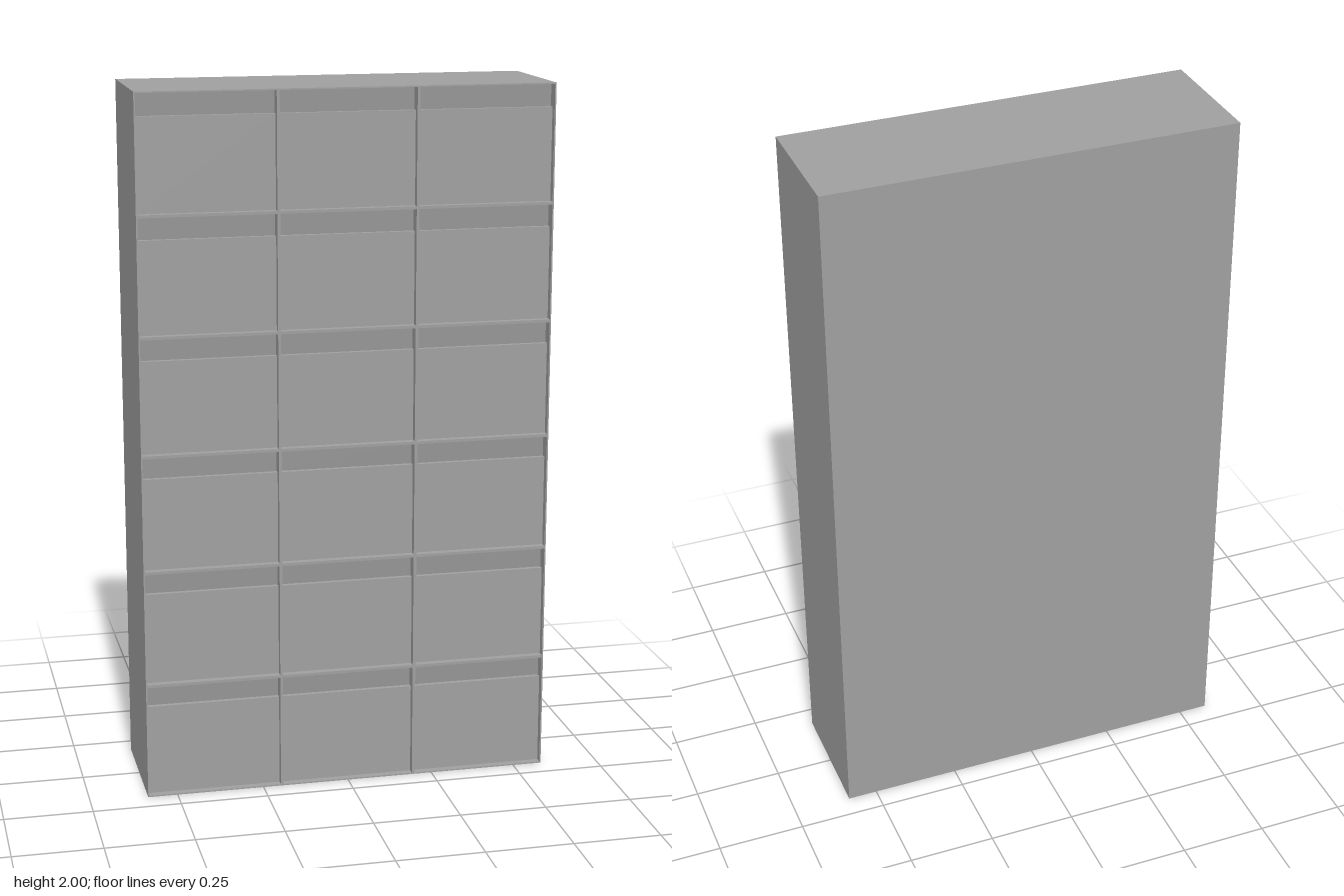
import * as THREE from 'three';

const WIDTH = 1.17, HEIGHT = 2, DEPTH = 0.37;
const COLUMNS = 3, ROWS = 6;
const EDGE = 0.004;        // half the thickness of a divider or shelf
const RECESS_Z = 0.15;     // plane of the recessed grip strips
const PANEL_Z = 0.165;     // plane of the drawer fronts
const GRIP = 0.068;        // distance from cell top to drawer front top

export function createModel() {
  const model = new THREE.Group();
  model.name = 'drawerCabinet';
  const grey = new THREE.MeshStandardMaterial({ color: 0xa0a0a0 });
  grey.name = 'cabinet grey';
  const darkGrey = new THREE.MeshStandardMaterial({ color: 0x959595 });
  darkGrey.name = 'recess grey';

  const add = (name, geometry, material, x, y, z, parent = model) => {
    const mesh = new THREE.Mesh(geometry, material);
    mesh.name = name;
    mesh.position.set(x, y, z);
    parent.add(mesh);
    return mesh;
  };

  // Solid carcass behind the drawer fronts
  const bodyDepth = RECESS_Z + DEPTH / 2;
  add('carcass', new THREE.BoxGeometry(WIDTH, HEIGHT, bodyDepth), grey,
    0, HEIGHT / 2, RECESS_Z - bodyDepth / 2);

  // Front lattice of thin dividers and shelves, one opening per drawer
  const cellW = WIDTH / COLUMNS, cellH = HEIGHT / ROWS;
  const openW = cellW - 2 * EDGE, openH = cellH - 2 * EDGE;
  const lattice = new THREE.Shape([
    new THREE.Vector2(-WIDTH / 2, 0), new THREE.Vector2(WIDTH / 2, 0),
    new THREE.Vector2(WIDTH / 2, HEIGHT), new THREE.Vector2(-WIDTH / 2, HEIGHT),
  ]);
  const drawers = new THREE.Group();
  drawers.name = 'drawers';
  model.add(drawers);

  const panelH = cellH - EDGE - GRIP;
  const stripH = openH - panelH;
  const panelGeometry = new THREE.BoxGeometry(openW, panelH, PANEL_Z - RECESS_Z);
  const stripGeometry = new THREE.PlaneGeometry(openW, stripH);

  for (let row = 0; row < ROWS; row++) {
    for (let column = 0; column < COLUMNS; column++) {
      const x = (column - (COLUMNS - 1) / 2) * cellW;
      const bottom = row * cellH + EDGE, top = bottom + openH;
      const left = x - openW / 2, right = x + openW / 2;
      lattice.holes.push(new THREE.Path([
        new THREE.Vector2(left, bottom), new THREE.Vector2(left, top),
        new THREE.Vector2(right, top), new THREE.Vector2(right, bottom),
      ]));

      // Drawer front with a deeper grip strip above it
      add('drawerFront', panelGeometry, grey,
        x, bottom + panelH / 2, (RECESS_Z + PANEL_Z) / 2, drawers);
      add('gripRecess', stripGeometry, darkGrey,
        x, top - stripH / 2, RECESS_Z + 0.001, drawers);
    }
  }

  const latticeGeometry = new THREE.ExtrudeGeometry(lattice,
    { depth: DEPTH / 2 - RECESS_Z, bevelEnabled: false });
  add('frontLattice', latticeGeometry, grey, 0, 0, RECESS_Z);

  return model;
}
